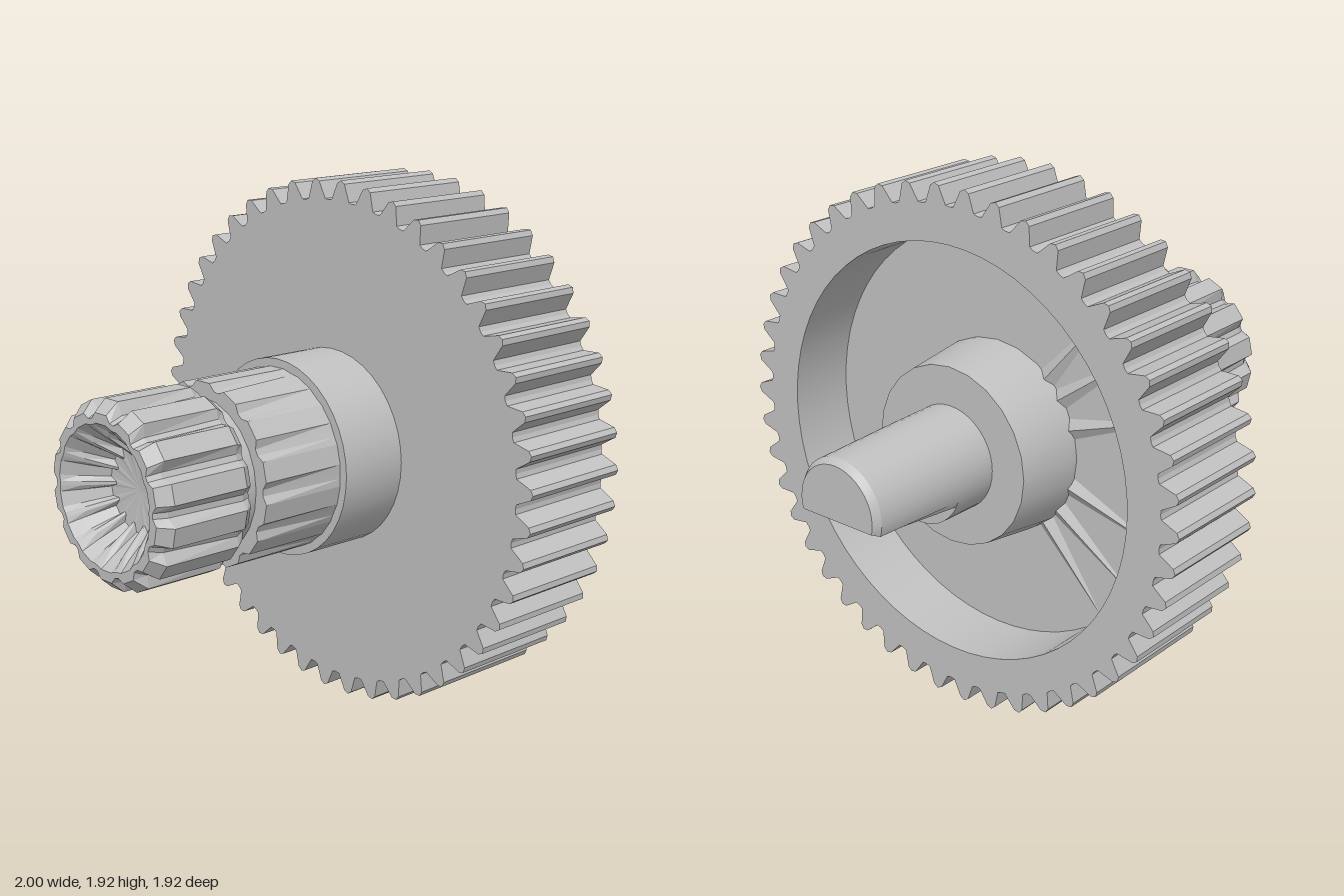
import * as THREE from 'three';
import { toCreasedNormals } from 'three/addons/utils/BufferGeometryUtils.js';

const CY = 0.961; // height of the shared axis, which runs along x

// Skin a chain of rings along x; ringPoint(station, j) returns [y, z] about the axis
function loft(stations, n, ringPoint, crease) {
  const pos = [], idx = [];
  stations.forEach((s, i) => {
    for (let j = 0; j < n; j++) {
      const [y, z] = ringPoint(s, j);
      pos.push(s[0], y, z);
      if (i === stations.length - 1) continue;
      const k = (j + 1) % n;
      const a = i * n + j, b = a + n, c = i * n + k, d = c + n;
      idx.push(a, c, b, c, d, b);
    }
  });
  const g = new THREE.BufferGeometry();
  g.setAttribute('position', new THREE.Float32BufferAttribute(pos, 3));
  g.setIndex(idx);
  return toCreasedNormals(g, crease);
}

// Toothed section: stations are [x, tip radius, root radius]
function toothed(stations, teeth) {
  const offsets = [-0.24, 0.24, 0.42, 0.58];
  return loft(stations, teeth * 4, ([, tip, root], j) => {
    const t = ((Math.floor(j / 4) + offsets[j % 4]) / teeth) * Math.PI * 2;
    const r = j % 4 < 2 ? tip : root;
    return [r * Math.cos(t), r * Math.sin(t)];
  }, 0.1);
}

// Round section: stations are [x, radius, optional height of a flat underside]
function round(stations, n = 40) {
  return loft(stations, n, ([, r, flat = -9], j) => {
    const t = (j / n) * Math.PI * 2;
    return [Math.max(r * Math.cos(t), flat), r * Math.sin(t)];
  }, 0.45);
}

// Spur gear ring with a round opening
function gearRing() {
  const teeth = 46, shape = new THREE.Shape();
  const profile = [[-0.5, 0.885], [-0.36, 0.888], [-0.14, 0.948], [0, 0.958], [0.14, 0.948], [0.36, 0.888]];
  for (let i = 0; i < teeth; i++) {
    profile.forEach(([o, r], k) => {
      const t = ((i + o + 0.4) / teeth) * Math.PI * 2 + Math.PI / 2;
      shape[i + k ? 'lineTo' : 'moveTo'](r * Math.cos(t), r * Math.sin(t));
    });
  }
  shape.closePath();
  shape.holes.push(new THREE.Path().absarc(0, 0, 0.755, 0, Math.PI * 2, true));
  const g = new THREE.ExtrudeGeometry(shape, { depth: 0.44, bevelEnabled: false, curveSegments: 32 });
  g.rotateY(Math.PI / 2).translate(0.012, 0, 0);
  return toCreasedNormals(g, 0.3);
}

export function createModel() {
  const model = new THREE.Group();
  const grey = new THREE.MeshStandardMaterial({ color: 0xc0c0c0 });
  grey.name = 'plain grey';
  const axis = new THREE.Group();
  axis.name = 'gearShaft';
  axis.position.y = CY;
  model.add(axis);
  // The big wheel sits very slightly askew on the shaft
  const wheel = new THREE.Group();
  wheel.name = 'gearWheel';
  wheel.rotation.z = 0.008;
  axis.add(wheel);
  const add = (parent, name, geometry) => {
    const m = new THREE.Mesh(geometry, grey);
    m.name = name;
    parent.add(m);
  };

  add(wheel, 'largeGear', gearRing());

  // Web that closes the gear's back, with the tapered hub inside the recess
  add(wheel, 'gearWeb', round([[0.012, 0.3], [0.012, 0.757], [0.2, 0.757], [0.2, 0.3]], 64));
  add(wheel, 'hub', round([[0.18, 0.357], [0.22, 0.355], [0.45, 0.327], [0.45, 0.15]], 24));

  // Low radial ridges on one side of the web
  for (const deg of [-50, -36, -18, 18, 36, 50]) {
    const g = new THREE.ConeGeometry(0.04, 0.42, 4);
    g.scale(0.6, 1, 1).translate(0, 0.53, 0); // base sits on the hub
    g.rotateX(-Math.PI / 2 + THREE.MathUtils.degToRad(deg));
    g.translate(0.2, 0, 0);
    add(wheel, 'webRidge', toCreasedNormals(g, 0.1));
  }

  // Stepped barrel behind the gear
  add(axis, 'collar', round([[-0.25, 0.25], [-0.25, 0.355], [0.02, 0.355]]));
  add(axis, 'splinedBarrel', toothed([
    [-0.58, 0.24, 0.24], [-0.58, 0.326, 0.306], [-0.25, 0.326, 0.323],
  ], 14));
  add(axis, 'neck', round([[-0.66, 0.272], [-0.57, 0.272]], 24));

  // Small pinion with chamfered ends and a hollow face
  add(axis, 'pinion', toothed([
    [-0.85, 0, 0], [-0.86, 0.15, 0.12], [-0.95, 0.21, 0.195], [-1, 0.25, 0.245],
    [-1, 0.285, 0.265], [-0.955, 0.325, 0.285], [-0.66, 0.325, 0.3],
    [-0.625, 0.3, 0.285], [-0.625, 0.24, 0.24],
  ], 14));

  // Output shaft with a sloping flat cut under its tip
  add(axis, 'outputShaft', round([
    [0.38, 0.19], [0.612, 0.187], [0.612, 0.187, -0.081],
    [0.975, 0.178, -0.048], [1, 0.16, -0.038], [1, 0],
  ]));

  return model;
}
